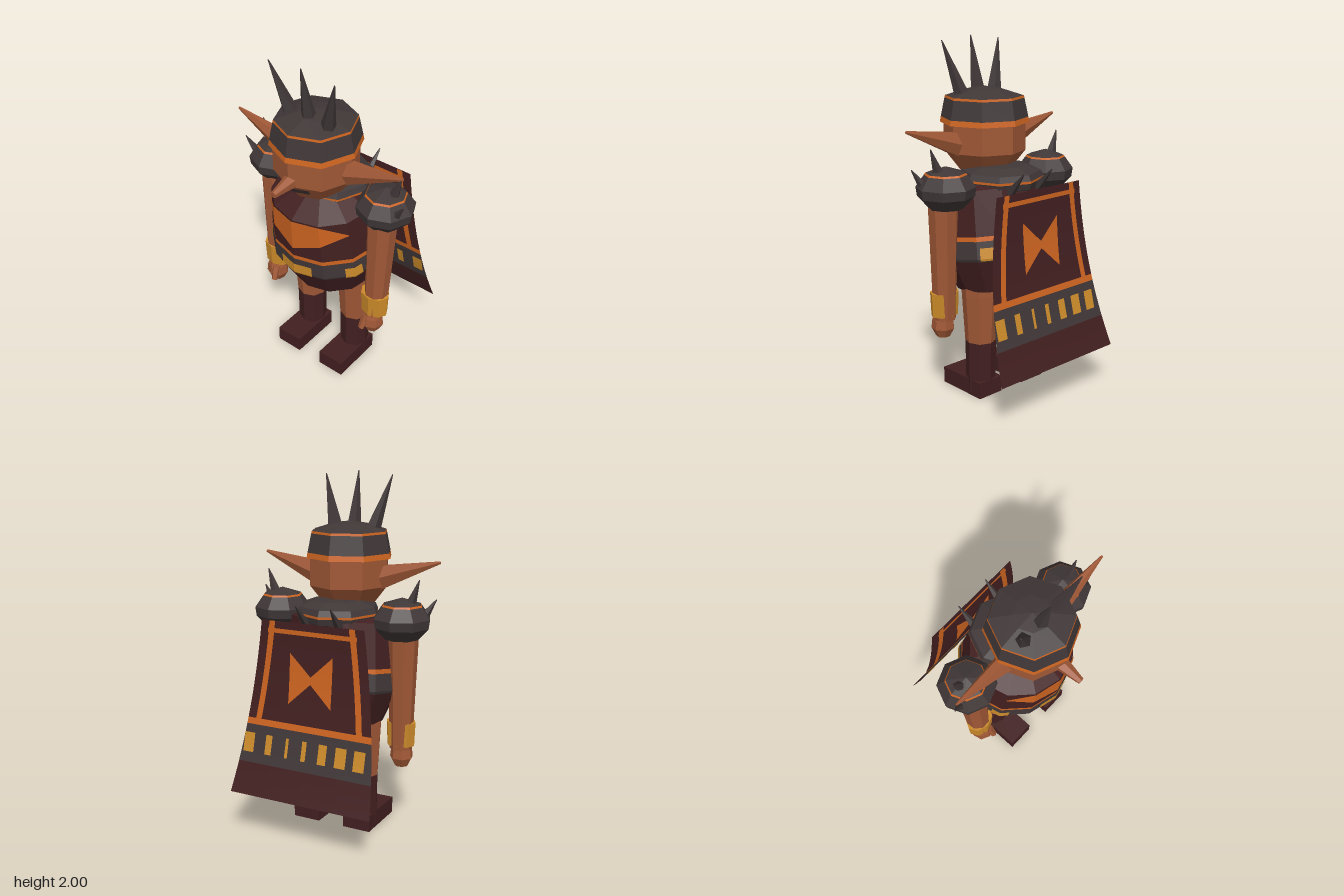
import * as THREE from 'three';

const paint = (name, color) => {
  const m = new THREE.MeshStandardMaterial({ color });
  m.name = name;
  return m;
};

export function createModel() {
  const skin = paint('skin', 0xa05836);
  const maroon = paint('maroon cloth', 0x421f20);
  const iron = paint('dark iron', 0x403737);
  const orange = paint('orange trim', 0xcd6420);
  const gold = paint('gold', 0xcb8a2a);
  const root = new THREE.Group();

  // ---- helpers ----
  const add = (parent, name, geo, mat) => {
    const g = geo.index ? geo.toNonIndexed() : geo;
    g.computeVertexNormals();
    const mesh = new THREE.Mesh(g, mat);
    mesh.name = name;
    parent.add(mesh);
    return mesh;
  };
  const group = (parent, name, x = 0, y = 0, z = 0) => {
    const g = new THREE.Group();
    g.name = name;
    g.position.set(x, y, z);
    parent.add(g);
    return g;
  };
  // faceted turned form, profile given bottom to top as [radius, y]
  const turned = (parent, name, profile, sides, mat, sx = 1, sz = 1) =>
    add(parent, name, new THREE.LatheGeometry(
      profile.map(([r, y]) => new THREE.Vector2(r, y)), sides).scale(sx, 1, sz), mat);
  // tapered rod from a to b
  const spike = (parent, name, a, b, r, mat, sides = 5, rTip = 0.003, depth = 1) => {
    const A = new THREE.Vector3(...a), B = new THREE.Vector3(...b);
    const dir = B.clone().sub(A);
    const geo = new THREE.CylinderGeometry(rTip, r, dir.length(), sides).scale(1, 1, depth);
    const mesh = add(parent, name, geo, mat);
    mesh.position.copy(A.add(B).multiplyScalar(0.5));
    mesh.quaternion.setFromUnitVectors(new THREE.Vector3(0, 1, 0), dir.normalize());
    return mesh;
  };
  const radiusAt = (profile, y) => {
    for (let i = 1; i < profile.length; i++) {
      const [r0, y0] = profile[i - 1], [r1, y1] = profile[i];
      if (y <= y1) return r0 + (r1 - r0) * (y - y0) / (y1 - y0);
    }
    return profile[profile.length - 1][0];
  };
  // flat sheet whose vertices are placed by at(u, v)
  const sheet = (parent, name, mat, nu, nv, at) => {
    const geo = new THREE.PlaneGeometry(1, 1, nu, nv);
    const p = geo.attributes.position;
    for (let i = 0; i < p.count; i++) p.setXYZ(i, ...at(p.getX(i) + 0.5, p.getY(i) + 0.5));
    return add(parent, name, geo, mat);
  };
  // painted panel lying on a faceted turned form
  const panel = (parent, name, mat, profile, sides, sx, a0, a1, lo, hi, nu = 8) => {
    const step = 2 * Math.PI / sides;
    sheet(parent, name, mat, nu, 6, (u, v) => {
      const deg = a0 + (a1 - a0) * u, a = deg * Math.PI / 180;
      const y = lo(deg) + (hi(deg) - lo(deg)) * v;
      const local = ((a % step) + step) % step;
      const r = (radiusAt(profile, y) + 0.005) * Math.cos(step / 2) / Math.cos(local - step / 2);
      return [sx * r * Math.sin(a), y, r * Math.cos(a)];
    });
  };

  // ---- torso, leaning forward ----
  const torso = group(root, 'torso', 0, 0.9, 0.02);
  torso.rotation.x = 0.15;
  const body = [[0, -0.276], [0.244, -0.275], [0.322, -0.075], [0.28, 0.29], [0.115, 0.38], [0, 0.381]];
  const bodyBand = (name, y0, y1, mat) => turned(torso, name, [
    [radiusAt(body, y0), y0], ...body.filter(([, y]) => y > y0 && y < y1), [radiusAt(body, y1), y1],
  ], 12, mat, 1.08);
  bodyBand('tunicSkirt', -0.276, -0.09, maroon);
  bodyBand('belt', -0.09, 0.02, iron);
  bodyBand('beltTrim', 0.02, 0.045, orange);
  bodyBand('tunic', 0.045, 0.381, maroon);
  for (const [a, w] of [[0, 18], [60, 9], [-60, 9], [134, 11], [-145, 15]])
    panel(torso, 'beltPlate', gold, body, 12, 1.08, a - w, a + w, () => -0.085, () => -0.015);
  panel(torso, 'chestEmblem', orange, body, 12, 1.08, -60, 60,
    (d) => 0.1 + 0.11 * Math.abs(d) / 60,
    (d) => 0.285 - 0.07 * Math.max(0, Math.abs(d) - 30) / 30, 16);

  // ---- collar ----
  const collar = group(root, 'collar', 0, 0, -0.01);
  turned(collar, 'collarBase', [[0.15, 1.15], [0.225, 1.2], [0.235, 1.235]], 8, iron);
  turned(collar, 'collarTrim', [[0.235, 1.235], [0.235, 1.248]], 8, orange);
  turned(collar, 'collarTop', [[0.235, 1.248], [0.22, 1.28], [0.14, 1.31], [0, 1.315]], 8, iron);
  for (const s of [-1, 1])
    spike(collar, 'collarSpike', [s * 0.1, 1.19, -0.18], [s * 0.105, 1.31, -0.29], 0.028, iron);

  // ---- head ----
  const head = group(root, 'head', 0, 0, 0.125);
  const skull = [[0, 1.24], [0.14, 1.26], [0.23, 1.375], [0.23, 1.54]];
  turned(head, 'face', skull, 8, skin);
  panel(head, 'mouth', iron, skull, 8, 1, -28, 28, () => 1.315, () => 1.36);
  spike(head, 'nose', [0, 1.4, 0.19], [0, 1.385, 0.345], 0.045, skin, 6, 0.018);
  for (const s of [-1, 1])
    spike(head, 'ear', [s * 0.19, 1.425, 0], [s * 0.545, 1.53, 0], 0.075, skin, 6, 0.008, 0.75);

  // ---- spiked helmet ----
  const helmet = group(head, 'helmet');
  turned(helmet, 'helmetBrim', [[0.2, 1.53], [0.25, 1.53], [0.244, 1.56]], 8, orange);
  turned(helmet, 'helmetWall', [[0.244, 1.56], [0.222, 1.665]], 8, iron);
  turned(helmet, 'helmetTrim', [[0.222, 1.665], [0.219, 1.678]], 8, orange);
  turned(helmet, 'helmetTop', [[0.219, 1.678], [0.1, 1.715], [0, 1.73]], 8, iron);
  for (const s of [-1, 0, 1])
    spike(helmet, 'helmetSpike', [s * 0.115, 1.67, 0.05], [s * 0.207, s ? 1.98 : 2, 0.112], 0.045, iron);

  // ---- arms and legs, mirrored ----
  for (const s of [-1, 1]) {
    const arm = group(root, s > 0 ? 'leftArm' : 'rightArm', s * 0.375, 0, 0.015);
    turned(arm, 'shoulderGuard',
      [[0, 1.115], [0.095, 1.12], [0.155, 1.185], [0.162, 1.235], [0.115, 1.3]], 8, iron);
    turned(arm, 'shoulderTrim', [[0.115, 1.3], [0.108, 1.31]], 8, orange);
    turned(arm, 'shoulderCap', [[0.108, 1.31], [0, 1.345]], 8, iron);
    spike(arm, 'shoulderSpike', [s * 0.04, 1.29, 0], [s * 0.095, 1.445, 0.005], 0.035, iron);
    spike(arm, 'shoulderSpike', [s * 0.11, 1.25, 0.06], [s * 0.165, 1.335, 0.08], 0.025, iron);
    spike(arm, 'forearm', [0, 1.16, 0.025], [-s * 0.012, 0.48, 0.042], 0.085, skin, 8, 0.064);
    const wrist = group(arm, 'wrist', -s * 0.014, 0, 0.045);
    turned(wrist, 'cuff', [[0, 0.5], [0.082, 0.5], [0.088, 0.635], [0, 0.636]], 8, gold, 1, 0.78);
    turned(wrist, 'hand', [[0, 0.365], [0.04, 0.37], [0.066, 0.42], [0.06, 0.47], [0.045, 0.51]],
      7, skin).position.z = 0.015;
    spike(wrist, 'thumb', [-s * 0.02, 0.48, 0.05], [-s * 0.03, 0.4, 0.085], 0.028, skin, 5, 0.018);

    const leg = group(root, s > 0 ? 'leftLeg' : 'rightLeg', s * 0.165, 0, -0.018);
    turned(leg, 'thigh', [[0.088, 0.32], [0.105, 0.6], [0.108, 0.76]], 8, skin);
    turned(leg, 'boot', [[0.086, 0.02], [0.09, 0.33], [0, 0.331]], 8, maroon, 0.97, 0.97);
    add(leg, 'foot', new THREE.BoxGeometry(0.165, 0.094, 0.318), maroon).position.set(-s * 0.003, 0.047, 0.077);
  }

  // ---- cape: flared sheet with a front and a back layer ----
  const cape = group(root, 'cape');
  const top = 1.22, bottom = 0.26;
  const drop = (y) => (top - y) / (top - bottom);
  const halfWidth = (y) => 0.31 + 0.12 * drop(y);
  const capeZ = (y) => -0.31 - 0.17 * Math.pow(Math.max(0, drop(y)), 2.2);
  const cloth = (name, mat, lift, at) => {
    for (const side of [1, -1]) sheet(cape, name, mat, 4, 8, (u, v) => {
      const [x, y] = at(side > 0 ? u : 1 - u, v);
      return [x, y, capeZ(y) + side * lift];
    });
  };
  const band = (name, mat, y0, y1) => cloth(name, mat, 0.001, (u, v) => {
    const y = y0 + (y1 - y0) * v;
    return [halfWidth(y) * (2 * u - 1), y];
  });
  const patch = (name, mat, x, w, y0, y1) => cloth(name, mat, 0.005, (u, v) =>
    [x + w * (u - 0.5), y0 + (y1 - y0) * v]);
  band('capeHem', maroon, bottom, 0.43);
  band('capeBand', iron, 0.43, 0.635);
  band('capeBandTrim', orange, 0.635, 0.67);
  band('capeField', maroon, 0.67, top);
  patch('capeTopStripe', orange, 0, 0.54, 1.155, 1.18);
  for (const s of [-1, 1])
    cloth('capeSideStripe', orange, 0.005, (u, v) => {
      const y = 0.67 + (top - 0.67) * v;
      return [s * (halfWidth(y) - 0.07) + 0.035 * (u - 0.5), y];
    });
  // bow-shaped emblem
  cloth('capeEmblem', orange, 0.005, (u, v) => {
    const k = 2 * u - 1;
    return [0.13 * k, 0.915 + (0.02 + 0.12 * Math.abs(k)) * (2 * v - 1)];
  });
  for (const [x, w] of [[0.355, 0.065], [0.23, 0.04], [0.115, 0.018], [0.008, 0.028],
    [-0.105, 0.05], [-0.215, 0.065], [-0.325, 0.065]])
    patch('capePlate', gold, x, w, 0.485, 0.59);

  return root;
}
